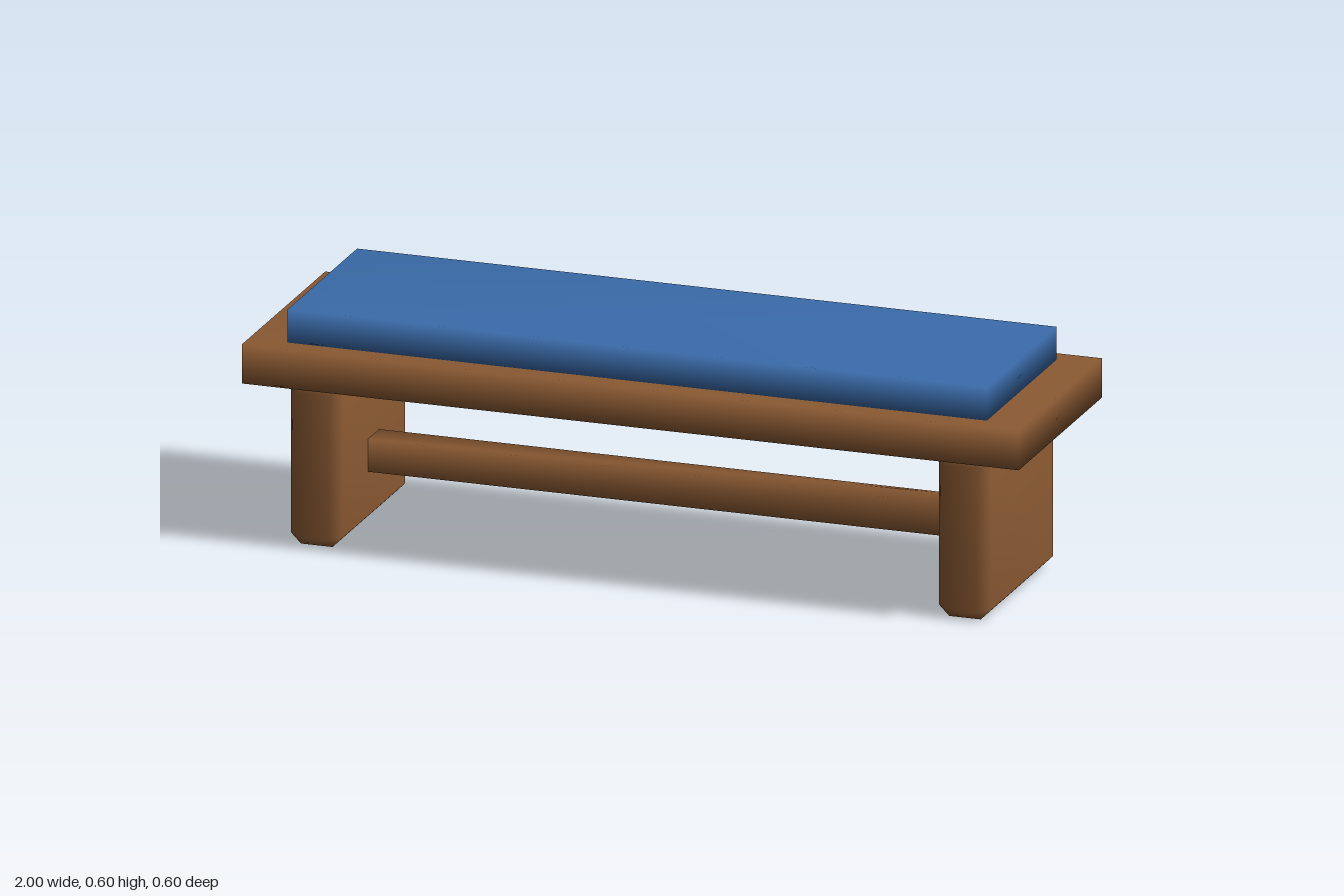
import * as THREE from 'three';
import { mergeVertices } from 'three/addons/utils/BufferGeometryUtils.js';
import { ConvexGeometry } from 'three/addons/geometries/ConvexGeometry.js';

const wood = new THREE.MeshStandardMaterial({ color: 0x8b5a33 });
const fabric = new THREE.MeshStandardMaterial({ color: 0x3b6cab });

// Share corners between faces so the shading runs smoothly across the edges
function smooth(geometry) {
  geometry.deleteAttribute('normal');
  geometry.deleteAttribute('uv');
  const merged = mergeVertices(geometry, 1e-4);
  merged.computeVertexNormals();
  return merged;
}

const softBox = (w, h, d) => smooth(new THREE.BoxGeometry(w, h, d));

// Box with one 45 degree bevel on every edge
function bevelledBox(w, h, d, bevel) {
  const half = [w / 2, h / 2, d / 2];
  const points = [];
  for (const sx of [-1, 1]) for (const sy of [-1, 1]) for (const sz of [-1, 1]) {
    for (let axis = 0; axis < 3; axis++) {
      const p = half.map((size, i) => (i === axis ? size : size - bevel));
      points.push(new THREE.Vector3(p[0] * sx, p[1] * sy, p[2] * sz));
    }
  }
  return smooth(new ConvexGeometry(points));
}

export function createModel() {
  const bench = new THREE.Group();
  bench.name = 'bench';

  const add = (name, geometry, material, x, y) => {
    const mesh = new THREE.Mesh(geometry, material);
    mesh.name = name;
    mesh.position.set(x, y, 0);
    bench.add(mesh);
  };

  // Seat board and cushion
  add('seat', softBox(2, 0.1, 0.6), wood, 0, 0.468);
  add('cushion', softBox(1.8, 0.085, 0.5), fabric, 0, 0.5605);

  // Slab legs at both ends
  const leg = bevelledBox(0.133, 0.418, 0.5, 0.026);
  add('leftLeg', leg, wood, 0.8345, 0.209);
  add('rightLeg', leg, wood, -0.8345, 0.209);

  // Square stretcher between the legs
  add('stretcher', softBox(1.6, 0.083, 0.083), wood, 0, 0.18);

  return bench;
}
